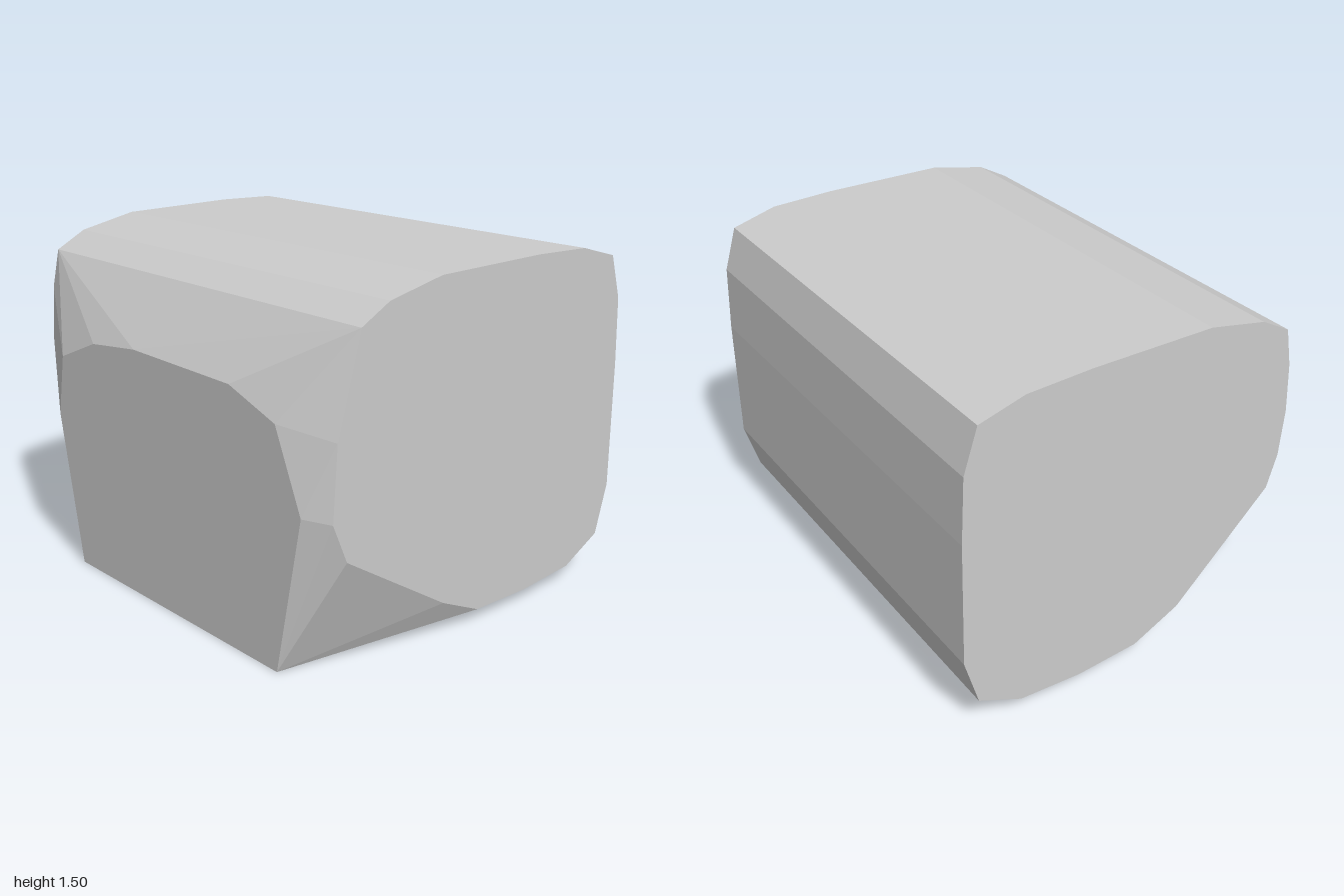
import * as THREE from 'three';
import { ConvexGeometry } from 'three/addons/geometries/ConvexGeometry.js';

// Faceted convex block: two end outlines joined through a flat side and a flat base.
export function createModel() {
  // Outline shared by both ends: top, right side and underside (x, y)
  const shared = [
    [-0.67, 1.36], [-0.53, 1.435], [-0.26, 1.49], [0.3, 1.495], [0.59, 1.485], [0.79, 1.43],
    [0.85, 1.24], [0.862, 0.95], [0.864, 0.39], [0.8, 0.17], [0.6, 0.072], [0.31, 0.051],
  ];
  // Lower left of each end
  const frontLeft = [[0.01, 0.058], [-0.2, 0.155], [-0.73, 0.49], [-0.8, 0.655], [-0.78, 0.96]];
  const backLeft = [[0.02, 0.068], [-0.2, 0.17], [-0.66, 0.605], [-0.705, 0.755], [-0.72, 0.967], [-0.705, 1.19]];
  // Flat side at the lowest x (y, z)
  const side = [
    [0, -0.59], [0.68, -0.725], [0.955, -0.675], [1.06, -0.42], [1.095, -0.12],
    [1.086, 0.5], [0.995, 0.765], [0.67, 0.905], [0, 0.765],
  ];
  // Flat base (x, z)
  const base = [[0.03, -0.78], [0.32, -0.69], [0.4, -0.4], [0.39, 0.41], [0.3, 0.72], [0, 0.81]];

  const points = [
    ...[...shared, ...frontLeft].map(([x, y]) => new THREE.Vector3(x, y, 1)),
    ...[...shared, ...backLeft].map(([x, y]) => new THREE.Vector3(x, y, -1)),
    ...side.map(([y, z]) => new THREE.Vector3(-0.87, y, z)),
    ...base.map(([x, z]) => new THREE.Vector3(x, 0, z)),
  ];

  const material = new THREE.MeshStandardMaterial({ color: 0xcccccc, flatShading: true });
  const block = new THREE.Mesh(new ConvexGeometry(points), material);
  block.name = 'facetedBlock';

  const group = new THREE.Group();
  group.name = 'convexBlock';
  group.add(block);
  return group;
}
